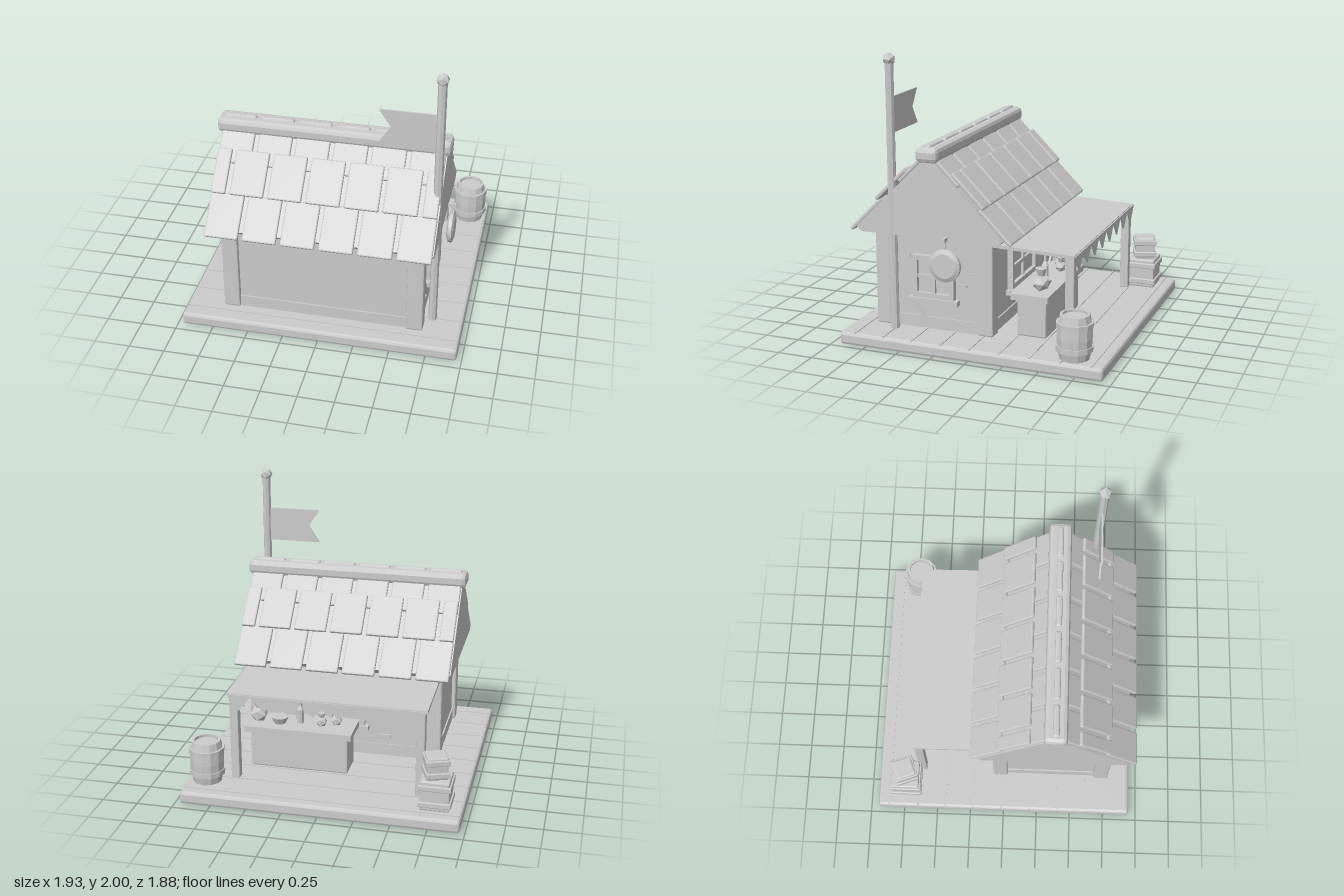
import * as THREE from 'three';
import { RoundedBoxGeometry } from 'three/addons/geometries/RoundedBoxGeometry.js';

export function createModel() {
  const model = new THREE.Group();
  model.name = 'marketHouse';
  const grey = new THREE.MeshStandardMaterial({ color: 0xcccccc });
  grey.name = 'plain grey';

  // Adds a faceted mesh
  function add(name, geo, x, y, z, parent = model) {
    const g = geo.index ? geo.toNonIndexed() : geo;
    g.computeVertexNormals();
    const mesh = new THREE.Mesh(g, grey);
    mesh.name = name;
    mesh.position.set(x, y, z);
    parent.add(mesh);
    return mesh;
  }
  // Box given by its limits, with optional chamfer
  function box(name, x0, x1, y0, y1, z0, z1, bevel = 0, parent = model) {
    const w = x1 - x0, h = y1 - y0, d = z1 - z0;
    const geo = bevel ? new RoundedBoxGeometry(w, h, d, 1, bevel) : new THREE.BoxGeometry(w, h, d);
    return add(name, geo, (x0 + x1) / 2, (y0 + y1) / 2, (z0 + z1) / 2, parent);
  }
  function group(name, x, y, z, parent = model) {
    const g = new THREE.Group();
    g.name = name;
    g.position.set(x, y, z);
    parent.add(g);
    return g;
  }
  const polygon = (pts) => new THREE.Shape(pts.map(([a, b]) => new THREE.Vector2(a, b)));
  const plate = (pts, depth) => new THREE.ExtrudeGeometry(polygon(pts), { depth, bevelEnabled: false });
  const lathe = (pts, n) => new THREE.LatheGeometry(pts.map(([r, y]) => new THREE.Vector2(r, y)), n);

  // Plank platform
  box('platform', -0.966, 0.966, 0, 0.09, -0.94, 0.94, 0.02);
  for (let i = 0; i < 9; i++) {
    const z = -0.86 + i * 0.211;
    box('plankSeam', -0.955, 0.955, 0.08, 0.095, z - 0.007, z + 0.007);
  }

  // Walls, corner posts and sill beams
  box('walls', -0.675, 0.675, 0.09, 0.79, -0.055, 0.75);
  for (const [x0, x1] of [[-0.705, -0.59], [0.59, 0.705]])
    for (const [z0, z1] of [[-0.085, 0.025], [0.67, 0.78]])
      box('cornerPost', x0, x1, 0.09, 0.78, z0, z1, 0.012);
  box('sillBeam', -0.685, 0.685, 0.09, 0.175, -0.065, 0.76);
  box('topBeam', -0.685, 0.685, 0.73, 0.78, -0.065, 0.76);

  // Window facing +z of its own group
  function windowUnit(name, w, x, y, z, turn) {
    const g = group(name, x, y, z);
    g.rotation.y = turn;
    const h = 0.3, t = 0.035;
    box('windowPane', -w / 2, w / 2, -h / 2, h / 2, 0, 0.012, 0, g);
    for (const s of [-1, 1]) {
      box('frameSide', s * (w / 2 - t / 2) - t / 2, s * (w / 2 - t / 2) + t / 2, -h / 2, h / 2, 0, 0.04, 0, g);
      box('frameRail', -w / 2, w / 2, s * (h / 2 - t / 2) - t / 2, s * (h / 2 - t / 2) + t / 2, 0, 0.04, 0, g);
    }
    box('mullion', -0.012, 0.012, -h / 2, h / 2, 0, 0.03, 0, g);
    box('crossbar', -w / 2, w / 2, -0.012, 0.012, 0, 0.03, 0, g);
    box('windowSill', -w / 2 - 0.03, w / 2 + 0.03, -h / 2 - 0.035, -h / 2, 0, 0.055, 0, g);
  }
  windowUnit('sideWindow', 0.305, 0.675, 0.47, 0.347, Math.PI / 2);
  windowUnit('backWindow', 0.5, 0.1, 0.47, -0.055, Math.PI);

  // Diagonal braces and small wall bricks
  const brace = box('sideBrace', 0.67, 0.695, -0.13, 0.13, -0.02, 0.02);
  brace.position.set(0.68, 0.25, 0.51);
  brace.rotation.x = 0.75;
  const backBrace = box('backBrace', -0.02, 0.02, -0.13, 0.13, -0.01, 0.01);
  backBrace.position.set(-0.52, 0.25, -0.06);
  backBrace.rotation.z = 0.75;
  for (const [y, z] of [[0.425, 0.145], [0.51, 0.06], [0.6, 0.56]])
    box('wallBrick', 0.67, 0.684, y - 0.012, y + 0.012, z - 0.035, z + 0.035);
  for (const [x, y] of [[-0.35, 0.42], [-0.45, 0.55], [-0.3, 0.24]])
    box('wallBrick', x - 0.04, x + 0.04, y - 0.012, y + 0.012, -0.07, -0.05);

  // Solid roof core
  const core = plate([[0.85, 0.765], [0.885, 0.8], [0.347, 1.335], [-0.19, 0.8], [-0.155, 0.765]], 1.55);
  core.rotateY(-Math.PI / 2);
  add('roofCore', core, 0.775, 0, 0);

  // Three staggered rows of shingles on each slope
  for (const turn of [0, Math.PI]) {
    const slope = group('roofSlope', 0, 1.373, 0.347);
    slope.rotation.set(Math.PI / 4, turn, 0, 'YXZ');
    const tile = (x, w, s0, s1, y) =>
      box('shingle', x - w / 2, x + w / 2, y - 0.014, y + 0.014, s0, s1, 0.009, slope);
    for (let i = 0; i < 6; i++) {
      const x = -0.653 + i * 0.2612;
      tile(x, 0.232, 0.53, 0.84, -0.012);
      tile(x, 0.232, 0.03, 0.32, -0.012);
      if (i < 5) tile(x + 0.1306, 0.232, 0.228, 0.542, 0.013);
    }
    for (const s of [-1, 1]) tile(s * 0.719, 0.1, 0.228, 0.542, 0.013);
  }
  box('ridgeBeam', -0.805, 0.803, 1.285, 1.388, 0.267, 0.427, 0.03);
  for (let i = 0; i < 6; i++) {
    const x = -0.653 + i * 0.2612;
    box('ridgeCap', x - 0.116, x + 0.116, 1.36, 1.402, 0.325, 0.37, 0.015);
  }

  // Flagpole and swallow-tailed flag
  add('flagpole', new THREE.CylinderGeometry(0.03, 0.03, 1.85, 8), 0.752, 1.015, 0.618);
  add('poleFinial', new THREE.IcosahedronGeometry(0.046, 0), 0.752, 1.958, 0.618);
  add('flag', plate([[0.74, 1.46], [0.74, 1.705], [0.35, 1.705], [0.43, 1.583], [0.35, 1.46]], 0.012), 0, 0, 0.61);

  // Round hanging sign
  const sign = add('hangingSign', lathe([[0, -0.024], [0.085, -0.024], [0.113, -0.012], [0.113, 0.012], [0.085, 0.024], [0, 0.024]], 24), 0.805, 0.6, 0.215);
  sign.rotation.z = Math.PI / 2;
  box('signBracket', 0.67, 0.83, 0.765, 0.79, 0.205, 0.225);
  box('signHook', 0.8, 0.81, 0.7, 0.77, 0.21, 0.22);

  // Awning with posts and pointed trim
  const awning = plate([[-0.05, 0.728], [-0.05, 0.75], [-0.655, 0.73], [-0.655, 0.708]], 1.39);
  awning.rotateY(-Math.PI / 2);
  add('awning', awning, 0.695, 0, 0);
  for (const x of [-0.65, 0.65]) box('awningPost', x - 0.03, x + 0.03, 0.09, 0.715, -0.65, -0.588, 0.006);
  const w = 1.39 / 8;
  for (let i = 0; i < 8; i++)
    add('awningTrim', plate([[-w / 2, 0], [0, -0.115], [w / 2, 0]], 0.01), -0.695 + (i + 0.5) * w, 0.725, -0.665);

  // Counter
  box('counterBody', -0.1, 0.6, 0.09, 0.36, -0.43, -0.22, 0.012);
  box('counterTop', -0.13, 0.64, 0.357, 0.4, -0.455, -0.19);

  // Goods on the counter
  function pot(x, z, s) {
    const g = group('pot', x, 0.4, z);
    g.scale.setScalar(s);
    add('potBody', new THREE.IcosahedronGeometry(0.062, 0), 0, 0.072, 0, g);
    add('potNeck', new THREE.CylinderGeometry(0.04, 0.024, 0.05, 8), 0, 0.148, 0, g);
  }
  pot(0.55, -0.375, 1);
  pot(0.1, -0.36, 0.65);
  pot(0.0, -0.32, 0.65);
  add('bowl', new THREE.CylinderGeometry(0.065, 0.04, 0.05, 8), 0.41, 0.425, -0.34);
  add('bottle', lathe([[0, 0], [0.026, 0], [0.026, 0.1], [0.01, 0.13], [0.01, 0.18], [0, 0.18]], 8), 0.27, 0.4, -0.305);

  // Barrel with recessed lid and hoops
  const barrel = group('barrel', 0.834, 0.09, -0.71);
  add('barrelBody', lathe([[0, 0], [0.1, 0], [0.117, 0.08], [0.12, 0.15], [0.117, 0.22], [0.1, 0.303], [0.083, 0.303], [0.083, 0.285], [0, 0.285]], 12), 0, 0, 0, barrel);
  for (const y of [0.075, 0.235]) add('barrelHoop', new THREE.CylinderGeometry(0.125, 0.125, 0.035, 12), 0, y, 0, barrel);

  // Stacked crates with slat bands
  function crate(x, y, z, size, h, turn) {
    const g = group('crate', x, y, z), s = size / 2;
    g.rotation.y = turn;
    box('crateBody', -s + 0.012, s - 0.012, 0, h, -s + 0.012, s - 0.012, 0.01, g);
    for (const k of [0.22, 0.78]) box('crateBand', -s, s, h * k - 0.02, h * k + 0.02, -s, s, 0.006, g);
  }
  crate(-0.778, 0.09, -0.733, 0.225, 0.215, 0);
  crate(-0.772, 0.305, -0.735, 0.165, 0.16, 0.35);

  return model;
}
